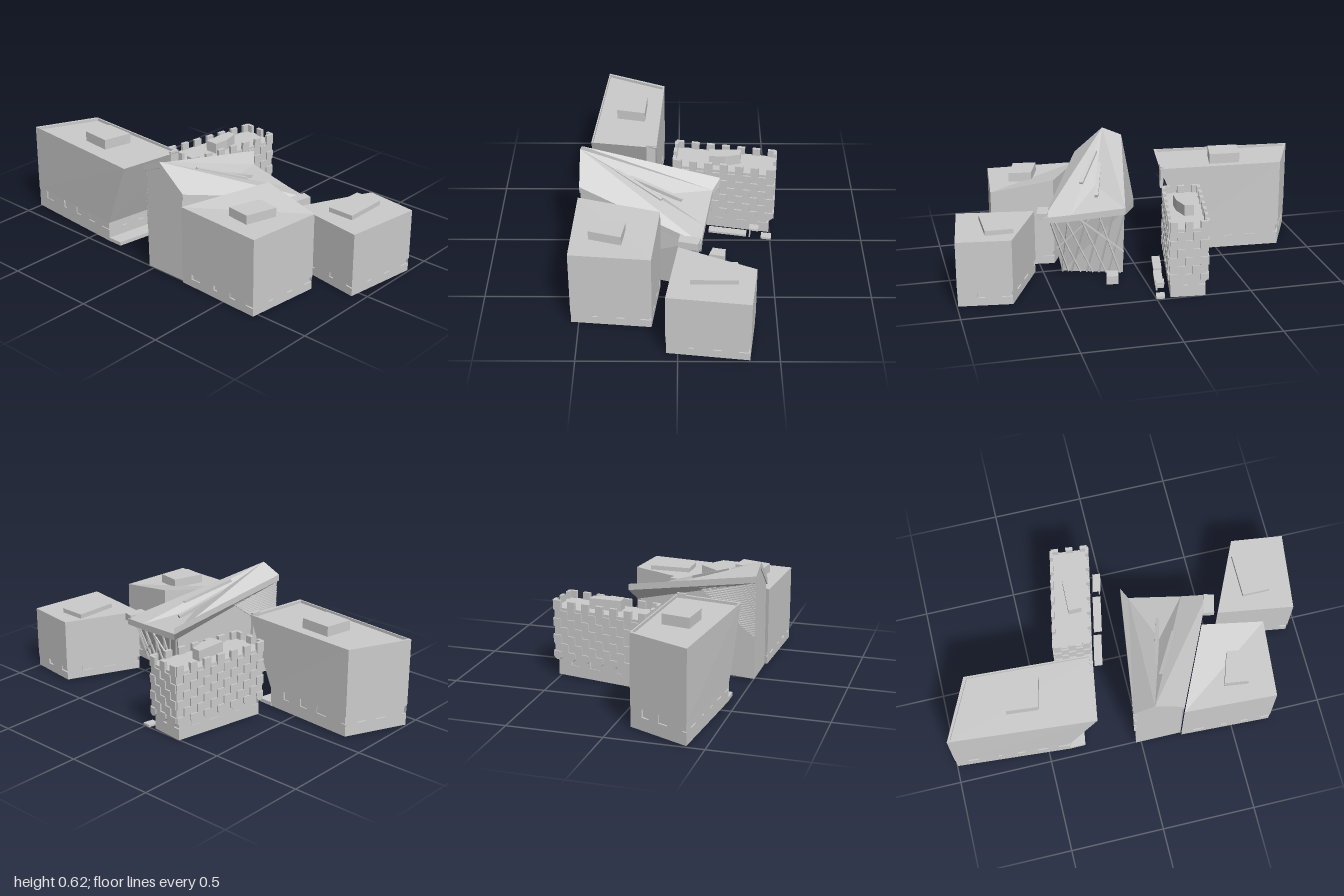
import * as THREE from 'three';

const mat = new THREE.MeshStandardMaterial({ color: 0xcccccc, flatShading: true, side: THREE.DoubleSide });
const V = (p) => new THREE.Vector3(...p);

function mesh(geo, name, parent) {
  const m = new THREE.Mesh(geo, mat);
  m.name = name;
  parent.add(m);
  return m;
}

// Faceted surface from a list of polygons (each fanned into triangles)
function surface(polys, name, parent) {
  const pos = [];
  for (const p of polys)
    for (let i = 1; i < p.length - 1; i++) pos.push(...p[0], ...p[i], ...p[i + 1]);
  const g = new THREE.BufferGeometry();
  g.setAttribute('position', new THREE.Float32BufferAttribute(pos, 3));
  g.computeVertexNormals();
  return mesh(g, name, parent);
}

const at = (plan, y) => plan.map(([x, z], i) => [x, Array.isArray(y) ? y[i] : y, z]);
const sides = (lo, hi) => lo.map((p, i) => {
  const j = (i + 1) % lo.length;
  return [p, lo[j], hi[j], hi[i]];
});

// Solid between two rings, listed counter-clockwise seen from above
const solid = (lo, hi, name, parent) =>
  surface([...sides(lo, hi), hi, [...lo].reverse()], name, parent);

function inset(plan, d) {
  const cx = plan.reduce((s, p) => s + p[0], 0) / plan.length;
  const cz = plan.reduce((s, p) => s + p[1], 0) / plan.length;
  return plan.map(([x, z]) => {
    const l = Math.hypot(cx - x, cz - z), k = (d * 1.41) / l;
    return [x + (cx - x) * k, z + (cz - z) * k];
  });
}

// Straight bar between two points
function beam(a, b, w, h, name, parent) {
  const p = V(a), q = V(b);
  const m = mesh(new THREE.BoxGeometry(w, h, p.distanceTo(q)), name, parent);
  m.position.copy(p).add(q).multiplyScalar(0.5);
  m.lookAt(q);
  return m;
}

const mix = (a, b, t) => a.map((v, i) => v + (b[i] - v) * t);

// Open ground-floor ring: a sill band below irregular recessed windows
function groundFloor(plan, y0, y1, parent) {
  const ring = inset(plan, 0.01), face = inset(plan, 0.002);
  const sill = y0 + (y1 - y0) * 0.6;
  surface([...sides(at(face, y0), at(face, sill)), ...sides(at(face, sill), at(ring, sill)),
    ...sides(at(ring, sill), at(ring, y1))], 'groundFloorWall', parent);
  face.forEach((a, i) => {
    const b = face[(i + 1) % face.length], c = ring[i], d = ring[(i + 1) % ring.length];
    const n = Math.max(2, Math.round(Math.hypot(b[0] - a[0], b[1] - a[1]) / 0.13));
    for (let k = 0; k < n; k++) {
      const t = k / n, end = (k + 0.5 + 0.1 * ((k * 7 + i * 3) % 4)) / n;
      const pier = [mix(a, b, t), mix(a, b, end), mix(c, d, end), mix(c, d, t)];
      surface(sides(at(pier, sill), at(pier, y1)).slice(0, 2), 'pier', parent);
    }
  });
}

function group(name, root) {
  const g = new THREE.Group();
  g.name = name;
  root.add(g);
  return g;
}

function frontBlocks(root) {
  // Block with a sloping roof
  const a = group('frontRightBlock', root);
  const pa = [[-0.52, 0.22], [-0.54, 0.71], [-0.13, 0.75], [-0.09, 0.42]];
  groundFloor(pa, 0.01, 0.08, a);
  solid(at(pa, 0.08), at(pa, [0.435, 0.43, 0.43, 0.485]), 'upperFloors', a);
  const ra = [[-0.43, 0.455], [-0.445, 0.58], [-0.28, 0.63], [-0.262, 0.51]];
  solid(at(ra, 0.42), at(ra, 0.48), 'roofPlant', a);

  // Lower block with a flat roof
  const b = group('frontLeftBlock', root);
  const pb = [[0, 0.54], [-0.06, 0.945], [0.355, 0.998], [0.39, 0.72]];
  groundFloor(pb, 0.01, 0.08, b);
  solid(at(pb, 0.08), at(pb, 0.355), 'upperFloors', b);
  const rb = [[0.06, 0.695], [0.06, 0.84], [0.295, 0.84], [0.295, 0.695]];
  solid(at(rb, 0.35), at(rb, 0.38), 'roofPlant', b);
}

function tallBlock(root) {
  const g = group('tallBackBlock', root);
  const top = [[-0.41, -1], [-0.475, -0.23], [-0.12, -0.175], [-0.085, -0.85]];
  const low = [[-0.41, -1], [-0.457, -0.38], [-0.115, -0.33], [-0.085, -0.85]];
  groundFloor(low, 0.01, 0.12, g);
  // Walls lean outward at the near end; the roof sits behind a parapet
  const rim = inset(top, 0.012);
  surface([...sides(at(low, 0.12), at(top, 0.49)), ...sides(at(top, 0.49), at(rim, 0.49)),
    ...sides(at(rim, 0.49), at(rim, 0.475)), at(rim, 0.475), at(low, 0.12).reverse()], 'upperFloors', g);
  const plant = [[-0.33, -0.675], [-0.345, -0.51], [-0.19, -0.475], [-0.18, -0.645]];
  solid(at(plant, 0.47), at(plant, 0.53), 'roofPlant', g);
  const step = [[-0.455, -0.39], [-0.455, -0.3], [-0.12, -0.25], [-0.115, -0.34]];
  solid(at(step, 0.01), at(step, 0.03), 'entranceLedge', g);
  // Upright fin on the near corner
  const fin = [[-0.175, -0.2], [-0.175, -0.185], [-0.125, -0.178], [-0.125, -0.195]];
  solid(at(fin, 0.38), at(fin, 0.5), 'cornerFin', g);
}

function chequerBlock(root) {
  const g = group('chequeredBlock', root);
  const plan = [[-0.02, -0.365], [-0.037, -0.165], [0.522, -0.055], [0.542, -0.257]];
  const body = inset(plan, 0.008);
  groundFloor(inset(plan, 0.02), 0.01, 0.11, g);
  solid(at(body, 0.11), at(body, 0.385), 'upperFloors', g);

  // Chequered panels: crenels on top, chamfered tabs on the bottom row
  body.forEach((a, s) => {
    const b = body[(s + 1) % 4];
    const len = Math.hypot(b[0] - a[0], b[1] - a[1]);
    const n = s % 2 ? 13 : 5, w = len / n;
    for (let r = 0; r < 7; r++) for (let k = 0; k < n; k++) {
      if ((r + k) % 2) continue;
      const h = r ? 0.0455 : 0.055, y = 0.37 - 0.0455 * r, c = r === 6 ? 0.013 : 0;
      const sh = new THREE.Shape([[-w / 2, h], [-w / 2, c], [-w / 2 + c, 0], [w / 2 - c, 0], [w / 2, c], [w / 2, h]]
        .map((p) => new THREE.Vector2(...p)));
      const panel = mesh(new THREE.ExtrudeGeometry(sh, { depth: 0.018, bevelEnabled: false }), r ? 'panel' : 'crenel', g);
      const [x, z] = mix(a, b, (k + 0.5) / n);
      panel.position.set(x, y, z);
      panel.rotation.y = -Math.atan2(b[1] - a[1], b[0] - a[0]);
      panel.translateZ(-0.01);
    }
  });
  const plant = [[0.165, -0.24], [0.165, -0.17], [0.25, -0.165], [0.335, -0.185], [0.34, -0.235]];
  solid(at(plant, 0.38), at(plant, 0.443), 'roofPlant', g);

  // Low slabs along the street side, one of them raised as a canopy
  const slabs = [[-0.03, 0.15, -0.15, 0.012], [0.165, 0.375, -0.108, 0.012],
    [0.385, 0.44, -0.063, 0.058], [0.45, 0.51, -0.05, 0.012]];
  for (const [x0, x1, z, y] of slabs) {
    const k = 0.19 * (x1 - x0);
    const p = [[x0 + 0.005, z], [x0, z + 0.045], [x1 - 0.005, z + 0.045 + k], [x1, z + k]];
    solid(at(p, y), at(p, y + 0.012), 'streetSlab', g);
  }
  beam([0.39, 0.01, -0.025], [0.39, 0.06, -0.025], 0.008, 0.008, 'canopyPost', g);
}

function theatre(root) {
  const g = group('foldedRoofHall', root);
  const w0 = [-0.51, 0.58, -0.05], w1 = [-0.51, 0.63, 0.06], w3 = [-0.51, 0.5, 0.22];
  const e0 = [0.22, 0.45, 0.055], e1 = [0.18, 0.395, 0.09], e2 = [0.135, 0.365, 0.37], e3 = [0.115, 0.355, 0.51];
  const valley = [-0.1, 0.435, 0.19];

  // Folded roof with a sunken valley, fascia and soffit
  const edge = [w0, w1, w3, e3, e2, e1, e0];
  const under = edge.map(([x, y, z]) => [x, y - 0.035, z]);
  const [u0, u1, u3, f3, f2, f1, f0] = under;
  const sunk = [valley[0], valley[1] - 0.035, valley[2]];
  surface([[w0, w1, e1], [w0, e1, e0], [w1, w3, e3], [w1, e3, e2],
    [w1, valley, e1], [w1, e2, valley], [valley, e2, e1],
    ...sides(under, edge), [u0, f1, u1], [u0, f0, f1], [u1, f3, u3], [u1, f2, f3],
    [u1, f1, sunk], [u1, sunk, f2], [sunk, f1, f2]], 'foldedRoof', g);
  beam([-0.325, 0.55, 0.14], [-0.085, 0.455, 0.27], 0.02, 0.02, 'skylight', g);
  beam([-0.26, 0.505, 0.13], [0.02, 0.415, 0.21], 0.02, 0.02, 'skylight', g);

  // Walls, leaning out towards the roof on the glazed side
  const y0 = 0.01;
  const bNW = [-0.505, y0, -0.03], bSW = [-0.505, y0, 0.22], bSE = [0.02, y0, 0.4], bNE = [0.12, y0, 0.09];
  const tNW = [-0.505, 0.56, -0.04], tR = [-0.505, 0.61, 0.06], tSW = [-0.505, 0.47, 0.21];
  const tSE = [0.085, 0.335, 0.475], tNE = [0.16, 0.375, 0.09];
  surface([[bNW, bSW, tSW, tR, tNW], [bSW, bSE, tSE, tSW], [bNE, bNW, tNW, tNE]], 'walls', g);
  surface([[bSE, bNE, tNE, tSE]], 'glazedFront', g);

  // Criss-cross lattice over the glazing
  const on = (u, v) => {
    const p = mix(mix(bSE, bNE, u), mix(tSE, tNE, u), v);
    return [p[0] + 0.006, p[1], p[2]];
  };
  const bars = [[0, 0.25], [0.1, 0], [0.15, 0.5], [0.3, 0.05], [0.4, 0.7], [0.5, 0.2], [0.6, 0.85],
    [0.72, 0.4], [0.75, 1], [0.95, 0.65]];
  for (const [a, b] of bars) beam(on(a, 0), on(b, 1), 0.008, 0.008, 'latticeBar', g);
  beam(on(0, 0.45), on(0.6, 1), 0.008, 0.008, 'latticeBar', g);
  beam(on(1, 0.35), on(0.35, 1), 0.008, 0.008, 'latticeBar', g);

  // Louvres in a triangle below the high end of the roof
  for (let y = 0.25; y < 0.54; y += 0.01) {
    const x = Math.min(-0.49 + 1.3 * (y - 0.25), -0.51 + (0.545 - y) / 0.178);
    const z = -0.036;
    if (x > -0.5) beam([-0.505, y, z], [x, y, z + 0.14 * (x + 0.505)], 0.012, 0.004, 'louvre', g);
  }

  // Entrance porch and the box tucked under the roof corner
  const porch = [[0.185, 0.13], [0.165, 0.19], [0.25, 0.21], [0.255, 0.145]];
  solid(at(porch, 0.005), at(porch, 0.05), 'entrancePorch', g);
  const box = [[0.01, 0.46], [0, 0.52], [0.1, 0.545], [0.115, 0.49]];
  solid(at(box, 0.335), at(box, 0.375), 'cornerBox', g);
}

export function createModel() {
  const root = new THREE.Group();
  root.name = 'buildingCluster';
  frontBlocks(root);
  tallBlock(root);
  chequerBlock(root);
  theatre(root);
  return root;
}
